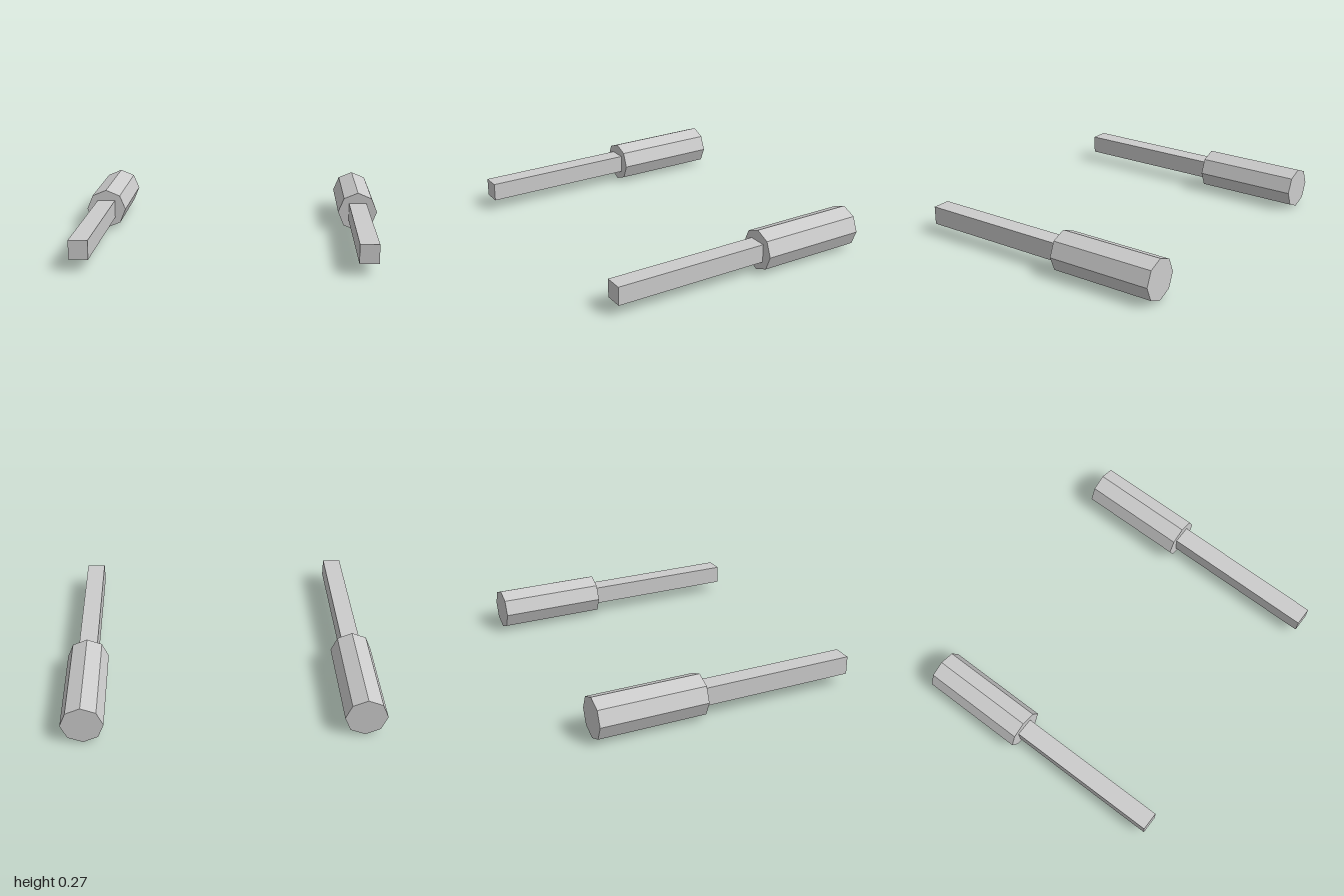
import * as THREE from 'three';

export function createModel() {
  const group = new THREE.Group();
  const grey = new THREE.MeshStandardMaterial({ color: 0xcccccc, flatShading: true });
  grey.name = 'light grey';

  const radius = 0.133, back = -0.853, step = -0.162, front = 0.853;

  // Octagonal housing with a corner pointing straight up
  const housingGeometry = new THREE.CylinderGeometry(radius, radius, step - back, 8);
  housingGeometry.rotateX(Math.PI / 2);
  housingGeometry.translate(0, radius, (step + back) / 2);

  // Square barrel running forward from the housing
  const barrelGeometry = new THREE.BoxGeometry(0.119, 0.119, front - step);
  barrelGeometry.translate(0, radius, (front + step) / 2);

  // Matching left and right units
  for (const [side, sign] of [['left', 1], ['right', -1]]) {
    const unit = new THREE.Group();
    unit.name = `${side}Unit`;
    unit.position.x = sign * (1 - radius);

    const housing = new THREE.Mesh(housingGeometry, grey);
    housing.name = `${side}Housing`;
    const barrel = new THREE.Mesh(barrelGeometry, grey);
    barrel.name = `${side}Barrel`;

    unit.add(housing, barrel);
    group.add(unit);
  }
  return group;
}
